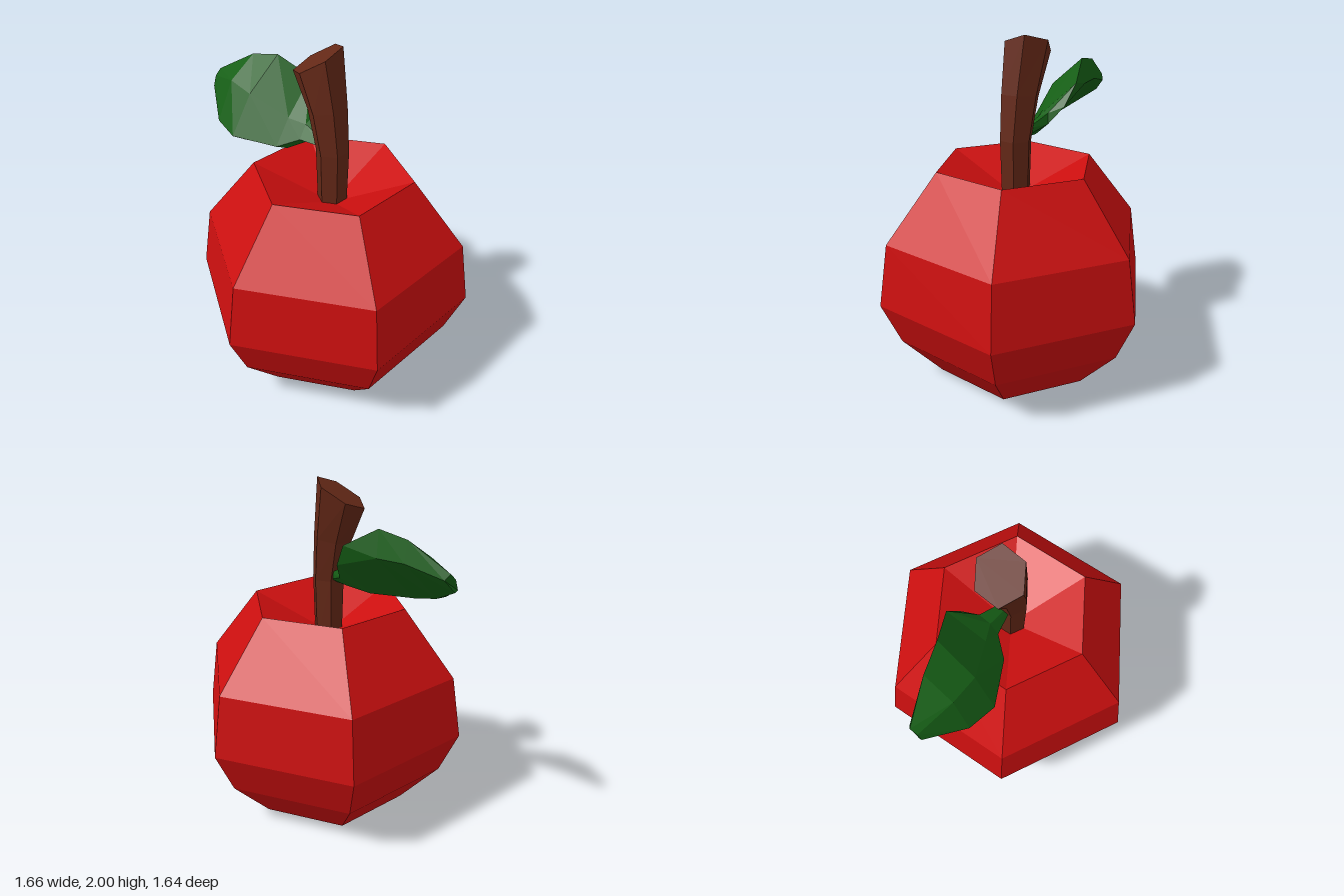
import * as THREE from 'three';

const paint = (color) => new THREE.MeshStandardMaterial({ color, flatShading: true });

// Skins a list of equal-length rings (clockwise when looking along the travel) and caps both ends.
function loft(rings) {
  const n = rings[0].length;
  const index = [];
  for (let i = 0; i < rings.length - 1; i++) {
    for (let j = 0; j < n; j++) {
      const k = (j + 1) % n;
      const a = i * n + j, b = i * n + k, c = b + n, d = a + n;
      index.push(a, b, c, a, c, d);
    }
  }
  const last = (rings.length - 1) * n;
  for (let j = 1; j < n - 1; j++) {
    index.push(0, j + 1, j);
    index.push(last, last + j, last + j + 1);
  }
  const geometry = new THREE.BufferGeometry();
  geometry.setAttribute('position', new THREE.Float32BufferAttribute(rings.flat(2), 3));
  geometry.setIndex(index);
  geometry.computeVertexNormals();
  return geometry;
}

function addPart(group, name, geometry, color) {
  const mesh = new THREE.Mesh(geometry, paint(color));
  mesh.name = name;
  group.add(mesh);
  return mesh;
}

export function createModel() {
  const model = new THREE.Group();
  model.name = 'apple';

  // Six-sided body with a dimple in the top
  const profile = [[0, 0], [0.485, 0], [0.72, 0.255], [0.832, 0.51], [0.775, 0.88], [0.47, 1.27], [0, 1.07]];
  const body = new THREE.LatheGeometry(profile.map(([r, y]) => new THREE.Vector2(r, y)), 6);
  body.rotateY(Math.PI / 6);
  addPart(model, 'body', body, 0xcc0f0f).position.z = 0.1;

  // Hexagonal stem bending backwards: centre y, centre z, radius, sideways tilt, backward tilt
  const stemRings = [
    [1.05, 0.1, 0.085, 0, 0],
    [1.41, 0.098, 0.095, 0, 0],
    [1.655, 0.058, 0.112, 0.05, 0.15],
    [1.92, -0.015, 0.138, 0.32, 0.47],
  ].map(([y, z, r, tiltX, tiltZ]) => Array.from({ length: 6 }, (_, i) => {
    const angle = i * Math.PI / 3;
    const dx = r * Math.cos(angle), dz = -r * Math.sin(angle);
    return [dx, y + tiltX * dx + tiltZ * dz, z + dz];
  }));
  addPart(model, 'stem', loft(stemRings), 0x642817);

  // Rolled leaf, from the stem to the tip: left edge, midrib, top edge, right edge, underside
  const leafRings = [
    [[-0.03, 1.42, 0.03], [-0.01, 1.45, 0.03], [0.03, 1.46, 0.03], [0.03, 1.42, 0.03], [0, 1.4, 0.03]],
    [[-0.05, 1.42, -0.11], [0, 1.5, -0.11], [0.07, 1.53, -0.11], [0.08, 1.47, -0.1], [0, 1.4, -0.09]],
    [[-0.15, 1.38, -0.2], [-0.04, 1.52, -0.21], [0.175, 1.7, -0.24], [0.15, 1.57, -0.16], [-0.09, 1.36, -0.17]],
    [[-0.26, 1.4, -0.45], [-0.13, 1.63, -0.43], [0.09, 1.81, -0.42], [0.11, 1.66, -0.43], [-0.2, 1.37, -0.41]],
    [[-0.22, 1.43, -0.62], [-0.12, 1.66, -0.6], [0.05, 1.78, -0.59], [0.07, 1.66, -0.59], [-0.18, 1.42, -0.59]],
    [[-0.08, 1.55, -0.82], [-0.06, 1.61, -0.82], [-0.02, 1.645, -0.82], [0, 1.61, -0.8], [-0.06, 1.54, -0.82]],
  ];
  addPart(model, 'leaf', loft(leafRings), 0x165f16);

  return model;
}
